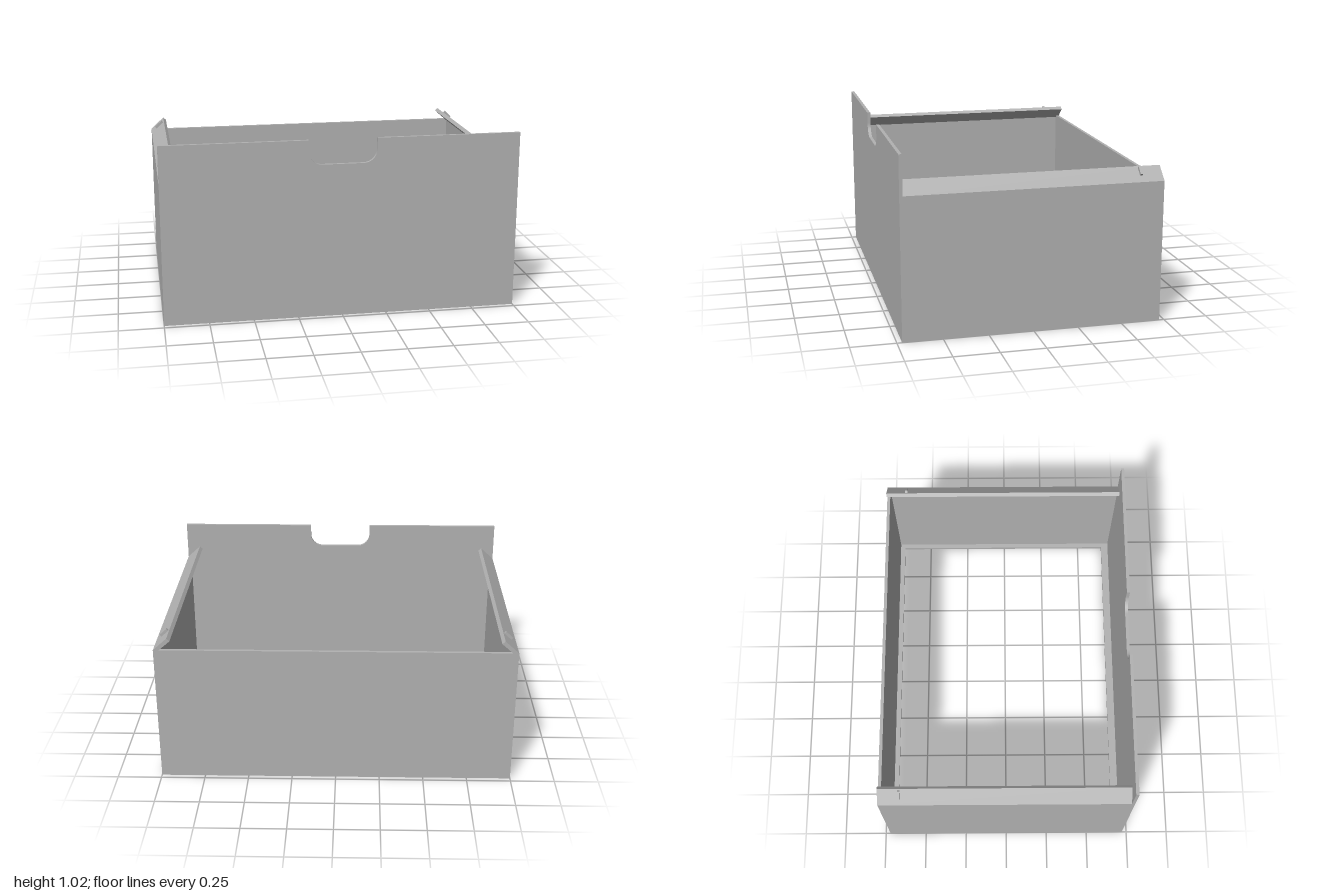
import * as THREE from 'three';

const T = 0.018;      // sheet thickness
const BACK = -0.722;  // outer back face
const FACE = 0.704;   // rear face of the front panel

export function createModel() {
  const model = new THREE.Group();
  model.name = 'drawer';
  const steel = new THREE.MeshStandardMaterial({ color: 0xb2b2b2 });
  steel.name = 'grey sheet metal';

  const add = (name, geometry, parent = model) => {
    const mesh = new THREE.Mesh(geometry, steel);
    mesh.name = name;
    parent.add(mesh);
    return mesh;
  };
  const box = (name, x0, x1, y0, y1, z0, z1) =>
    add(name, new THREE.BoxGeometry(x1 - x0, y1 - y0, z1 - z0))
      .position.set((x0 + x1) / 2, (y0 + y1) / 2, (z0 + z1) / 2);

  // Front panel with a rounded finger cut-out in its top edge
  const panel = new THREE.Shape();
  const w = 0.19, r = 0.075, top = 1.018, low = 0.88;
  panel.moveTo(-1, 0);
  panel.lineTo(1, 0);
  panel.lineTo(1, top);
  panel.lineTo(w, top);
  panel.lineTo(w, low + r);
  panel.absarc(w - r, low + r, r, 0, -Math.PI / 2, true);
  panel.lineTo(-w + r, low);
  panel.absarc(-w + r, low + r, r, -Math.PI / 2, -Math.PI, true);
  panel.lineTo(-w, top);
  panel.lineTo(-1, top);
  panel.closePath();
  add('frontPanel', new THREE.ExtrudeGeometry(panel, { depth: T, bevelEnabled: false, curveSegments: 10 }))
    .position.z = FACE;

  // Side wall section: bottom lip, wall and inward-sloping top flange
  const section = [
    [0.955, 0], [1, 0], [1, 0.797], [0.922, 0.868],
    [0.905, 0.852], [1 - T, 0.785], [1 - T, T], [0.955, T],
  ];
  for (const side of [1, -1]) {
    const points = section.map(([x, y]) => new THREE.Vector2(x * side, y));
    const wall = add(side > 0 ? 'leftWall' : 'rightWall',
      new THREE.ExtrudeGeometry(new THREE.Shape(points), { depth: FACE - BACK, bevelEnabled: false }));
    wall.position.z = BACK;

    // Small stop tab standing on the sloping flange
    const tab = add(side > 0 ? 'leftStopTab' : 'rightStopTab', new THREE.BoxGeometry(0.054, 0.024, 0.014));
    tab.position.set(0.951 * side, 0.846, -0.6);
    tab.rotation.z = -side * Math.atan2(0.071, 0.078);
  }

  // Back wall and the bottom lips that frame the open base
  box('backWall', -1 + T, 1 - T, T, 0.797, BACK, BACK + T);
  box('backLip', -0.955, 0.955, 0, T, BACK, BACK + 0.047);
  box('frontLip', -0.955, 0.955, 0, T, FACE - 0.045, FACE);
  return model;
}
